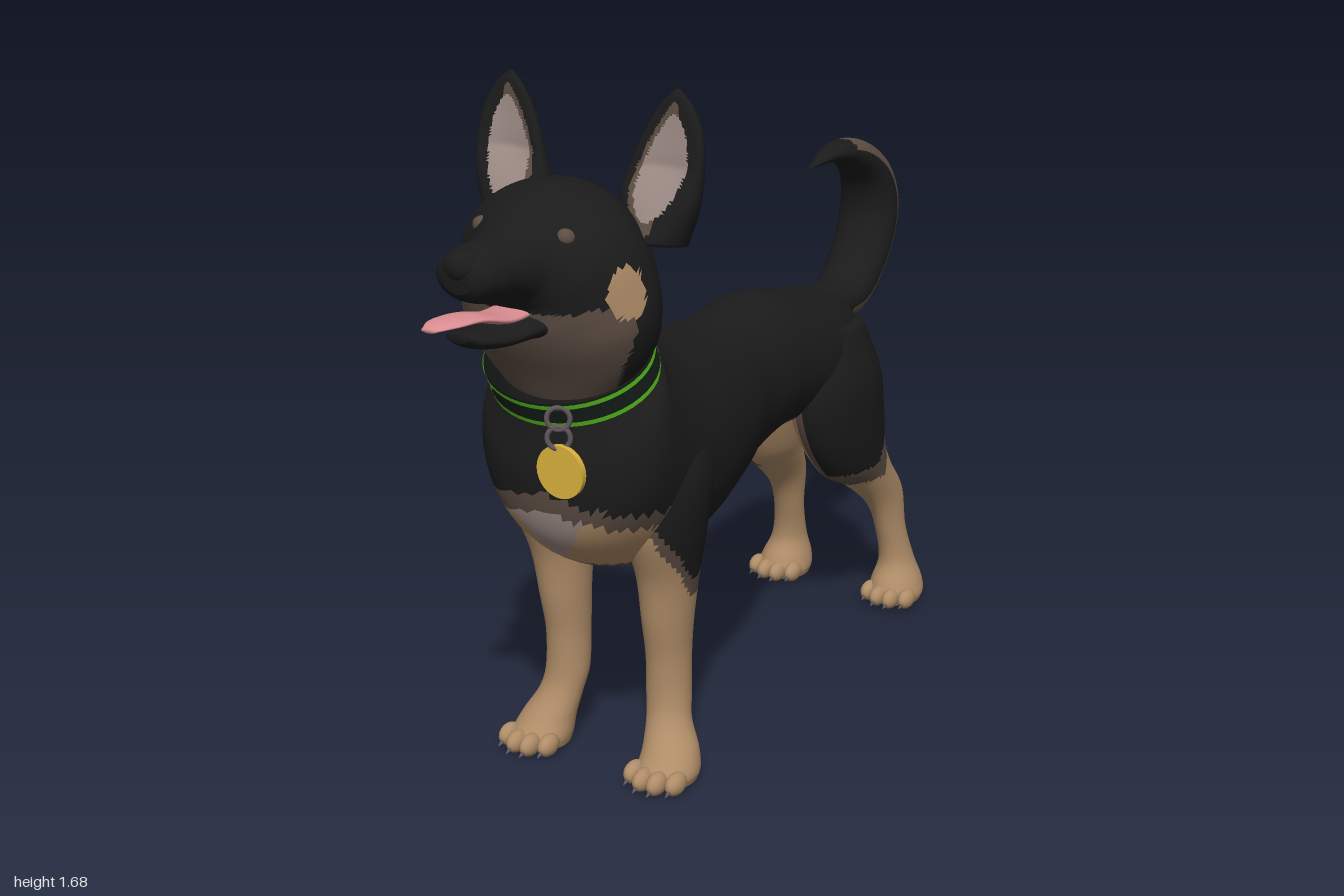
import * as THREE from 'three';

const paint = (name, color) => Object.assign(new THREE.MeshStandardMaterial({ color }), { name });
const black = paint('black fur', 0x1b1b1b);
const tan = paint('tan fur', 0xb08d68);
const brown = paint('brown fur', 0x5c4d43);
const pale = paint('pale skin', 0x9c8a84);
const pink = paint('tongue pink', 0xd98c90);
const green = paint('collar green', 0x5cc81e);
const gold = paint('tag gold', 0xd9b13b);
const collarDark = paint('collar dark', 0x18221b);
const claw = paint('claw grey', 0x5f565c);
const FUR = [black, tan, brown, pale];
const BLACK = 0, TAN = 1, BROWN = 2, PALE = 3;

// Smooth skin through sections [zA, yA, zB, yB, halfWidth, centreX]; A and B are
// opposite ends of each oval. rule(x, y, z, c, s) picks the fur colour; c is 1 at A, -1 at B.
function loft(name, rows, { rule = () => BLACK, side = 1, around = 48, steps = 8, bend, mats = FUR } = {}) {
  const curve = f => new THREE.CatmullRomCurve3(rows.map(f), false, 'catmullrom', 0.5);
  const endA = curve(r => new THREE.Vector3(r[5] || 0, r[1], r[0]));
  const endB = curve(r => new THREE.Vector3(r[4], r[3], r[2]));
  const n = (rows.length - 1) * steps;
  const P = [], info = [];
  const add = (x, y, z, c, s) => {
    if (bend) [x, y, z] = bend(x, y, z, c, s);
    P.push(x, y, z);
    info.push([x, y, z, c, s]);
  };
  for (let i = 0; i <= n; i++) {
    const a = endA.getPoint(i / n), b = endB.getPoint(i / n);
    for (let j = 0; j < around; j++) {
      const c = Math.cos(j / around * Math.PI * 2), s = Math.sin(j / around * Math.PI * 2);
      add(a.x + b.x * s, (a.y + b.y) / 2 + (a.y - b.y) / 2 * c, (a.z + b.z) / 2 + (a.z - b.z) / 2 * c, c, s);
    }
  }
  for (const t of [0, 1]) {
    const a = endA.getPoint(t), b = endB.getPoint(t);
    add(a.x, (a.y + b.y) / 2, (a.z + b.z) / 2, 0, 0);
  }
  const tris = [], capA = (n + 1) * around, capB = capA + 1;
  for (let j = 0; j < around; j++) {
    const k = (j + 1) % around;
    for (let i = 0; i < n; i++) {
      const p = i * around, q = p + around;
      tris.push([p + j, q + j, p + k], [p + k, q + j, q + k]);
    }
    tris.push([capA, j, k], [capB, n * around + k, n * around + j]);
  }
  for (let i = 0; i < P.length; i += 3) P[i] *= side;
  // Turn every face outwards
  const v = i => new THREE.Vector3(P[i * 3], P[i * 3 + 1], P[i * 3 + 2]);
  const volume = tris.reduce((sum, t) => sum + v(t[0]).dot(v(t[1]).cross(v(t[2]))), 0);
  const buckets = mats.map(() => []);
  for (const t of tris) {
    const mid = [0, 1, 2, 3, 4].map(k => (info[t[0]][k] + info[t[1]][k] + info[t[2]][k]) / 3);
    buckets[rule(...mid)].push(t[0], ...(volume > 0 ? [t[1], t[2]] : [t[2], t[1]]));
  }
  const g = new THREE.BufferGeometry();
  g.setAttribute('position', new THREE.Float32BufferAttribute(P, 3));
  g.setIndex(buckets.flat());
  let start = 0;
  buckets.forEach((b, m) => {
    if (b.length) g.addGroup(start, b.length, m);
    start += b.length;
  });
  g.computeVertexNormals();
  const mesh = new THREE.Mesh(g, mats);
  mesh.name = name;
  return mesh;
}

function part(name, geometry, material, pos, scale = [1, 1, 1], rot = [0, 0, 0]) {
  const m = new THREE.Mesh(geometry, material);
  m.name = name;
  m.position.set(...pos);
  m.scale.set(...scale);
  m.rotation.set(...rot);
  return m;
}

const ball = new THREE.SphereGeometry(1, 20, 14);
const ellipse = (u, v, ru, rv) => (u / ru) ** 2 + (v / rv) ** 2;

export function createModel() {
  const dog = new THREE.Group();
  dog.name = 'dog';

  // Torso, rump to neck, with a brown belly and a tan chest
  dog.add(loft('torso', [
    [-.70, .87, -.71, .72, .05], [-.66, .93, -.68, .62, .13], [-.55, .97, -.58, .6, .165],
    [-.4, 1.0, -.45, .63, .175], [-.25, 1.03, -.28, .645, .165], [-.1, 1.02, -.1, .61, .165],
    [.05, 1.02, .03, .575, .2], [.2, 1.055, .2, .525, .232], [.3, 1.085, .37, .51, .245],
    [.36, 1.11, .54, .57, .25], [.4, 1.13, .645, .67, .25], [.405, 1.14, .68, .81, .235],
    [.405, 1.15, .67, .93, .2], [.41, 1.19, .665, 1.02, .185],
  ], {
    around: 64,
    rule: (x, y, z, c) => {
      const ax = Math.abs(x);
      if (z > .47 && y < .79 - ax * .25) {
        if (y > .745 - ax * .25) return BROWN;
        if (y > .61 && ax < .02 + (y - .61) * .7) return PALE;
        return y < .57 ? BROWN : TAN;
      }
      if (z < -.6 && y < .76) return TAN;
      return c < -.8 && z < .5 ? BROWN : BLACK;
    },
  }));

  // Head from the ruff over the skull to the upper muzzle
  dog.add(loft('head', [
    [.405, 1.14, .66, 1.0, .18], [.41, 1.2, .695, 1.065, .225], [.425, 1.3, .735, 1.13, .245],
    [.45, 1.41, .76, 1.18, .232], [.52, 1.48, .77, 1.22, .21], [.61, 1.495, .775, 1.24, .18],
    [.68, 1.475, .785, 1.25, .14], [.75, 1.44, .8, 1.26, .105], [.82, 1.418, .84, 1.275, .088],
    [.89, 1.412, .89, 1.285, .08], [.94, 1.4, .93, 1.3, .065], [.955, 1.37, .95, 1.32, .035],
  ], {
    around: 64,
    rule: (x, y, z, c) => {
      if (ellipse(z - .645, y - 1.28, .045, .06) < 1) return TAN;
      if (z < .78 && y < 1.24 && c < -.5) return BROWN;
      return z > .63 && z < .73 && y < 1.25 ? BROWN : BLACK;
    },
  }));
  dog.add(loft('lowerJaw', [
    [.7, 1.25, .7, 1.15, .1], [.76, 1.24, .76, 1.175, .085], [.85, 1.225, .85, 1.18, .065],
    [.92, 1.235, .92, 1.195, .052], [.955, 1.24, .955, 1.215, .025],
  ], { rule: (x, y, z, c) => (c < -.7 && z < .8 ? BROWN : BLACK) }));
  dog.add(loft('tongue', [
    [.72, 1.255, .72, 1.225, .05, 0], [.82, 1.25, .82, 1.225, .05, 0], [.9, 1.265, .9, 1.245, .045, -.012],
    [.96, 1.262, .96, 1.247, .042, -.028], [.995, 1.25, .995, 1.24, .018, -.045],
  ], { mats: [pink], around: 24 }));
  dog.add(part('nose', ball, black, [0, 1.375, .93], [.045, .036, .032]));

  // Collar: dark band with green edges, hanging ring and tag
  const collar = new THREE.Group();
  collar.name = 'collar';
  collar.position.set(0, 1.06, .545);
  collar.rotation.x = .48;
  const band = (r, h) => new THREE.CylinderGeometry(r, r, h, 48, 1, true);
  collarDark.side = green.side = THREE.DoubleSide;
  collar.add(part('collarBand', band(1, .07), collarDark, [0, 0, 0], [.208, 1, .168]));
  for (const y of [-.026, .026])
    collar.add(part('collarEdge', band(1, .012), green, [0, y, 0], [.211, 1, .171]));
  dog.add(collar);
  for (const y of [.985, .94])
    dog.add(part('tagRing', new THREE.TorusGeometry(.026, .006, 8, 20), claw, [.07, y, .7], [1, 1, 1], [0, .5, 0]));
  dog.add(part('tag', new THREE.CylinderGeometry(.062, .062, .014, 32), gold, [.075, .862, .7], [1, 1, 1], [Math.PI / 2, 0, 0]));

  // Curled tail, brown on the outside of the curl
  dog.add(loft('tail', [
    [-.56, .96, -.64, .82, .07], [-.64, .952, -.71, .83, .075], [-.745, .96, -.82, .855, .08],
    [-.82, 1.025, -.94, .975, .085], [-.86, 1.11, -.997, 1.125, .085], [-.84, 1.2, -.955, 1.245, .075],
    [-.75, 1.268, -.85, 1.318, .058], [-.67, 1.288, -.715, 1.335, .035], [-.57, 1.288, -.57, 1.292, .004],
  ], { rule: (x, y, z, c) => (c < -.1 && z < -.7 && !(y > 1.2 && z > -.76) ? BROWN : BLACK) }));

  for (const side of [1, -1]) {
    const name = side > 0 ? 'left' : 'right';

    // Dished upright ear with pale lining
    dog.add(loft(name + 'Ear', [
      [.55, 1.36, .41, 1.34, .07, .19], [.54, 1.45, .415, 1.43, .098, .195], [.515, 1.53, .42, 1.52, .09, .21],
      [.485, 1.6, .425, 1.6, .07, .22], [.462, 1.655, .432, 1.655, .038, .222], [.447, 1.687, .44, 1.687, .006, .222],
    ], {
      side, around: 56, steps: 12,
      bend: (x, y, z, c, s) => [x, y, c > 0 ? z - c * c * .05 * Math.max(0, 1 - Math.abs(y - 1.52) / .15) : z],
      rule: (x, y, z, c, s) => {
        const d = ellipse(s, y - 1.52, .6, .115);
        return c > 0 && d < 1 ? PALE : c > 0 && d < 1.5 && s < .2 ? BROWN : BLACK;
      },
    }));
    dog.add(part(name + 'Eye', ball, brown, [side * .108, 1.403, .715], [.024, .02, .02]));

    // Front leg with black shoulder
    dog.add(loft(name + 'FrontLeg', [
      [.47, .92, .3, .9, .06, .16], [.52, .8, .28, .78, .098, .165], [.52, .66, .285, .64, .092, .158],
      [.47, .52, .295, .52, .072, .152], [.45, .4, .305, .4, .06, .148], [.432, .3, .31, .3, .054, .146],
      [.43, .2, .318, .2, .055, .148], [.445, .14, .335, .14, .056, .158], [.485, .08, .345, .08, .068, .178],
      [.52, .04, .35, .035, .074, .185], [.51, .012, .36, .012, .068, .185],
    ], {
      side,
      rule: (x, y, z, c, s) => {
        const edge = y - (.6 - .13 * s + .1 * Math.max(0, c));
        return edge > .05 ? BLACK : edge > 0 ? BROWN : TAN;
      },
    }));

    // Hind leg: black thigh outside, tan inside and below
    dog.add(loft(name + 'HindLeg', [
      [-.4, .9, -.67, .88, .07, .09], [-.33, .76, -.715, .74, .1, .112], [-.36, .61, -.73, .63, .093, .122],
      [-.46, .48, -.735, .53, .078, .13], [-.58, .41, -.765, .45, .06, .14], [-.685, .32, -.835, .345, .043, .155],
      [-.735, .22, -.84, .23, .04, .165], [-.752, .13, -.868, .13, .048, .175], [-.725, .07, -.888, .07, .068, .18],
      [-.71, .035, -.888, .035, .076, .182], [-.72, .012, -.875, .012, .07, .182],
    ], {
      side,
      rule: (x, y, z, c, s) => {
        if (s < -.25) return y > .68 && z > -.55 ? BLACK : TAN;
        const edge = Math.min(y - (.43 + .1 * Math.max(0, -c)), (s + .25) * .2);
        return edge > .05 ? BLACK : edge > 0 ? BROWN : TAN;
      },
    }));

    // Four toes with claws on each paw
    for (const [paw, z0] of [['Front', .505], ['Hind', -.735]])
      for (let i = 0; i < 4; i++) {
        const x = side * (.126 + i * .039), z = z0 + (i % 3 ? .014 : -.008);
        dog.add(part(name + paw + 'Toe', ball, tan, [x, .036, z], [.022, .028, .036]));
        dog.add(part(name + paw + 'Claw', new THREE.ConeGeometry(.01, .03, 8), claw,
          [x, .026, z + .036], [1, 1, 1], [1.9, 0, 0]));
      }
  }
  return dog;
}
